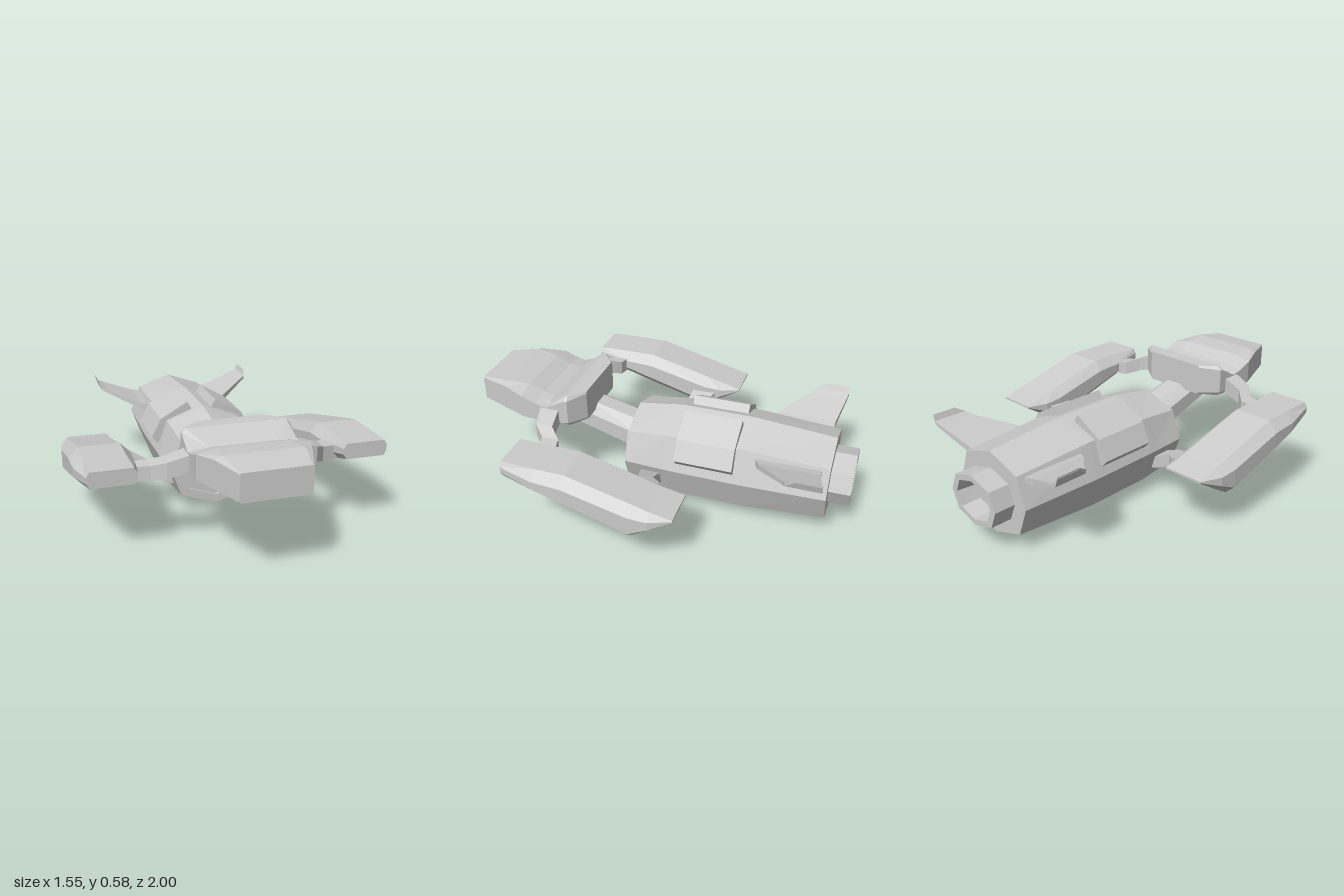
import * as THREE from 'three';

const mat = new THREE.MeshStandardMaterial({ color: 0xcccccc, flatShading: true });

// Skins rings of [x, y, z] points, caps both ends and turns the faces outwards
function loft(name, rings) {
  const pos = [], n = rings[0].length;
  const tri = (a, b, c) => pos.push(...a, ...b, ...c);
  for (let i = 0; i < rings.length - 1; i++) {
    for (let j = 0; j < n; j++) {
      const k = (j + 1) % n, p = rings[i], q = rings[i + 1];
      tri(p[j], p[k], q[k]);
      tri(p[j], q[k], q[j]);
    }
  }
  const cap = (r, flip) => {
    const c = [0, 1, 2].map(a => r.reduce((s, p) => s + p[a], 0) / n);
    r.forEach((p, j) => flip ? tri(c, r[(j + 1) % n], p) : tri(c, p, r[(j + 1) % n]));
  };
  cap(rings[0], true);
  cap(rings[rings.length - 1], false);
  // signed volume decides the winding
  let vol = 0;
  const v = i => new THREE.Vector3().fromArray(pos, i);
  for (let i = 0; i < pos.length; i += 9) vol += v(i).dot(v(i + 3).cross(v(i + 6)));
  if (vol < 0) {
    for (let i = 0; i < pos.length; i += 9) {
      for (let a = 0; a < 3; a++) [pos[i + 3 + a], pos[i + 6 + a]] = [pos[i + 6 + a], pos[i + 3 + a]];
    }
  }
  const g = new THREE.BufferGeometry();
  g.setAttribute('position', new THREE.Float32BufferAttribute(pos, 3));
  g.computeVertexNormals();
  const mesh = new THREE.Mesh(g, mat);
  mesh.name = name;
  return mesh;
}

// Eight-sided hull section with a ridge and a keel
const hullRing = (z, kx, ky, cy = 0.25) =>
  [[0, -0.25], [0.2, -0.175], [0.26, 0], [0.2, 0.175], [0, 0.25], [-0.2, 0.175], [-0.26, 0], [-0.2, -0.175]]
    .map(([x, y]) => [x * kx, cy + y * ky, z]);

// Chamfered box section: half width w, flat half width f, bottom b, top t, chamfer height c
const boxRing = (z, w, f, b, t, c, cx = 0) =>
  [[f, b], [w, b + c], [w, t - c], [f, t], [-f, t], [-w, t - c], [-w, b + c], [-f, b]]
    .map(([x, y]) => [cx + x, y, z]);

// Rectangular section of a strut or wing, standing across x
const slab = (x, y0, y1, z0, z1) => [[x, y0, z0], [x, y1, z0], [x, y1, z1], [x, y0, z1]];

// Parts of the left side
function sideParts() {
  const g = new THREE.Group();

  // long slanted engine pod
  g.add(loft('pod', [
    boxRing(0.6, 0.115, 0.1, 0.39, 0.47, 0.025, 0.62),
    boxRing(0.42, 0.145, 0.1, 0.335, 0.47, 0.045, 0.625),
    boxRing(0.27, 0.15, 0.1, 0.29, 0.47, 0.05, 0.625),
    boxRing(-0.06, 0.15, 0.1, 0.2, 0.385, 0.045, 0.625),
    boxRing(-0.15, 0.142, 0.1, 0.255, 0.36, 0.03, 0.625),
    boxRing(-0.26, 0.105, 0.1, 0.325, 0.335, 0.003, 0.62),
  ]));

  // cranked struts to the head and to the body
  g.add(loft('frontStrut', [
    slab(0.22, 0.43, 0.52, 0.51, 0.62),
    slab(0.28, 0.42, 0.5, 0.51, 0.61),
    slab(0.37, 0.39, 0.47, 0.5, 0.59),
    slab(0.43, 0.365, 0.44, 0.44, 0.53),
    slab(0.53, 0.36, 0.43, 0.42, 0.5),
  ]));
  g.add(loft('rearStrut', [
    slab(0.19, 0.13, 0.19, -0.03, 0.08),
    slab(0.25, 0.145, 0.215, -0.03, 0.07),
    slab(0.34, 0.19, 0.255, -0.03, 0.05),
    slab(0.39, 0.215, 0.275, -0.08, 0.02),
    slab(0.52, 0.25, 0.325, -0.14, 0),
  ]));

  // pack wrapped over the upper hull edge
  const pack = [[0.05, 0.47], [0.08, 0.52], [0.23, 0.435], [0.28, 0.335], [0.25, 0.3], [0.17, 0.38]];
  g.add(loft('sidePack', [-0.12, -0.42].map(z => pack.map(([x, y]) => [x, y, z]))));

  // tail fin with an upturned tip
  g.add(loft('tailFin', [
    slab(0.2, 0.36, 0.39, -0.85, -0.52),
    slab(0.25, 0.365, 0.4, -0.85, -0.54),
    slab(0.42, 0.435, 0.455, -0.88, -0.69),
    slab(0.452, 0.45, 0.47, -0.885, -0.71),
    slab(0.465, 0.49, 0.5, -0.885, -0.76),
  ]));
  return g;
}

// Mirrors geometry across x and restores the winding
function mirrored(group) {
  const out = new THREE.Group();
  for (const m of group.children) {
    const g = m.geometry.clone(), p = g.attributes.position.array;
    for (let i = 0; i < p.length; i += 9) {
      for (let a = 0; a < 3; a++) [p[i + 3 + a], p[i + 6 + a]] = [p[i + 6 + a], p[i + 3 + a]];
      for (const a of [0, 3, 6]) p[i + a] *= -1;
    }
    g.computeVertexNormals();
    const copy = new THREE.Mesh(g, mat);
    copy.name = m.name;
    out.add(copy);
  }
  return out;
}

export function createModel() {
  const model = new THREE.Group();
  model.name = 'spacecraft';

  // main hull with a shallow recess in the front face
  model.add(loft('hull', [
    hullRing(0.145, 0.76, 0.67), hullRing(0.16, 0.76, 0.67),
    hullRing(0.16, 0.95, 0.86), hullRing(-0.08, 0.99, 1),
    hullRing(-0.46, 1, 1), hullRing(-0.89, 0.94, 0.86),
  ]));

  // hollow tail nozzle
  model.add(loft('nozzle', [
    hullRing(-0.87, 0.64, 0.52), hullRing(-1, 0.64, 0.52),
    hullRing(-1, 0.5, 0.4), hullRing(-0.9, 0.46, 0.36),
  ]));

  // neck rising from the hull to the head
  model.add(loft('neck', [
    boxRing(0.13, 0.105, 0.045, 0.19, 0.38, 0.05),
    boxRing(0.45, 0.105, 0.045, 0.3, 0.46, 0.04),
    boxRing(0.76, 0.105, 0.045, 0.415, 0.5, 0.02),
  ]));

  // head with a cockpit slope, a dip and a raised rear block
  model.add(loft('head', [
    boxRing(1, 0.165, 0.16, 0.425, 0.56, 0.006),
    boxRing(0.84, 0.225, 0.19, 0.415, 0.58, 0.015),
    boxRing(0.72, 0.27, 0.17, 0.408, 0.57, 0.02),
    boxRing(0.64, 0.27, 0.16, 0.408, 0.535, 0.015),
    boxRing(0.58, 0.27, 0.17, 0.41, 0.52, 0.012),
    boxRing(0.475, 0.27, 0.25, 0.415, 0.585, 0.02),
    boxRing(0.46, 0.27, 0.25, 0.415, 0.585, 0.02),
    boxRing(0.39, 0.175, 0.165, 0.42, 0.585, 0.01),
  ]));

  const left = sideParts(), right = mirrored(left);
  left.name = 'leftSide';
  right.name = 'rightSide';
  model.add(left, right);
  return model;
}
